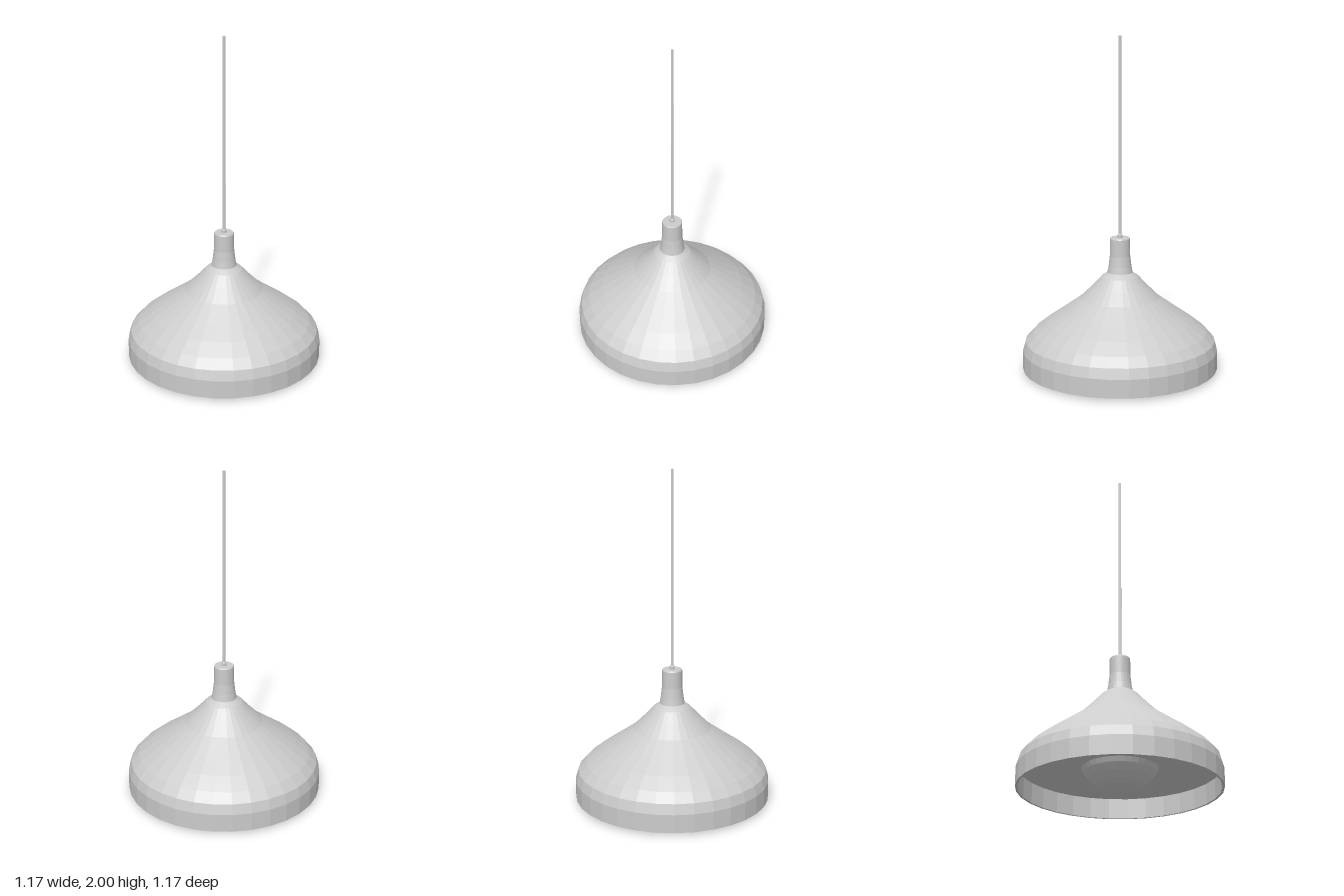
import * as THREE from 'three';

const SEGMENTS = 32;

export function createModel() {
  const lamp = new THREE.Group();
  lamp.name = 'pendantLamp';
  const material = new THREE.MeshStandardMaterial({ color: 0xcccccc, flatShading: true, side: THREE.DoubleSide });

  // Adds a turned part from [radius, height] pairs
  const turn = (name, profile, segments = SEGMENTS) => {
    const points = profile.map(([r, y]) => new THREE.Vector2(r, y));
    const mesh = new THREE.Mesh(new THREE.LatheGeometry(points, segments), material);
    mesh.name = name;
    lamp.add(mesh);
  };

  // Shade: inner disc, inner wall, thin rim, then the bell up to the neck
  turn('shade', [
    [0, 0.135], [0.572, 0.135], [0.572, 0.015], [0.585, 0.015], [0.585, 0.125],
    [0.568, 0.185], [0.52, 0.238], [0.44, 0.301], [0.34, 0.37], [0.235, 0.445],
    [0.165, 0.515], [0.11, 0.575], [0.07, 0.602], [0, 0.602],
  ]);

  // Socket cover with a flared foot
  turn('neck', [
    [0.075, 0.6], [0.068, 0.64], [0.061, 0.7], [0.06, 0.803], [0.056, 0.81], [0, 0.81],
  ]);

  // Cord and its small grommet
  turn('cordGrommet', [[0.015, 0.81], [0.015, 0.826], [0.012, 0.83], [0, 0.83]], 16);
  turn('cord', [[0.008, 0.82], [0.008, 2], [0, 2]], 12);

  // Bulb: the cap of a sphere showing below the inner disc
  const bulbRadius = 0.245;
  const bulb = new THREE.Mesh(
    new THREE.SphereGeometry(bulbRadius, SEGMENTS, 8, 0, Math.PI * 2, Math.PI / 2, Math.PI / 2),
    material,
  );
  bulb.name = 'bulb';
  bulb.position.y = bulbRadius;
  lamp.add(bulb);

  return lamp;
}
